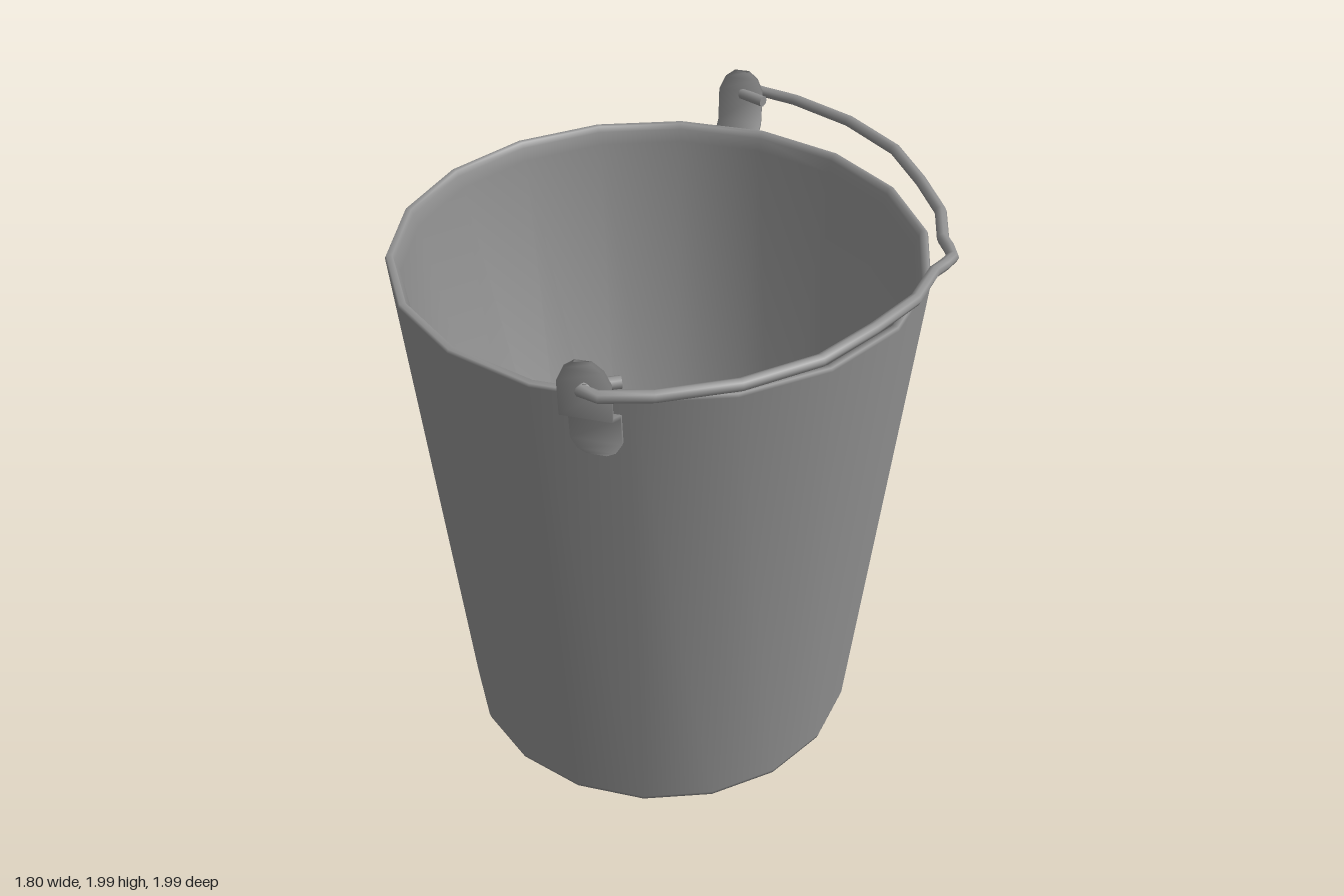
import * as THREE from 'three';

const material = new THREE.MeshStandardMaterial({ color: 0x919191 });
const CENTRE_X = -0.04; // the pail sits slightly off centre, balancing the lowered handle

function addMesh(parent, name, geometry) {
  const mesh = new THREE.Mesh(geometry, material);
  mesh.name = name;
  parent.add(mesh);
  return mesh;
}

// Straight-segment path with one tube ring per point
class Polyline extends THREE.Curve {
  constructor(points) {
    super();
    this.points = points;
  }
  getPoint(t, target = new THREE.Vector3()) {
    const last = this.points.length - 1;
    const i = Math.min(Math.floor(t * last), last - 1);
    return target.lerpVectors(this.points[i], this.points[i + 1], t * last - i);
  }
  getPointAt(t, target) { return this.getPoint(t, target); }
  getTangentAt(t, target) { return this.getTangent(t, target); }
}

// Tapered 18-sided pail, smooth all over: outer wall, rim with inner lip, inner wall, floor
function pailGeometry() {
  const profile = [
    [0, 0], [0.686, 0], [0.69, 0.015], [0.86, 1.81], [0.855, 1.82],
    [0.836, 1.82], [0.832, 1.8], [0.816, 1.76], [0.63, 0.03], [0, 0.03],
  ].map(([r, y]) => new THREE.Vector2(r, y));
  const geometry = new THREE.LatheGeometry(profile, 18, Math.PI / 2);
  geometry.normalizeNormals();
  return geometry;
}

// Bent strap with rounded ends: rows of [y, half width, z], softly shaded across its width
function earGeometry() {
  const rows = [
    [1.61, 0.03, 0.838], [1.625, 0.057, 0.839], [1.66, 0.077, 0.841],
    [1.76, 0.077, 0.852], [1.802, 0.077, 0.929], [1.92, 0.077, 0.937],
    [1.965, 0.057, 0.939], [1.99, 0.025, 0.94],
  ];
  const last = rows.length - 1;
  const geometry = new THREE.BoxGeometry(1, 1, 1, 1, last, 1);
  const { position: p, normal: n } = geometry.attributes;
  const direction = new THREE.Vector3();
  for (let i = 0; i < p.count; i++) {
    const k = Math.round((p.getY(i) + 0.5) * last);
    const [y, half, z] = rows[k];
    const below = rows[Math.max(k - 1, 0)];
    const above = rows[Math.min(k + 1, last)];
    const side = Math.sign(p.getX(i)), face = Math.sign(p.getZ(i));
    // Outward direction of the strap's broad face at this row
    direction.set(0, below[2] - above[2], above[0] - below[0]).normalize().multiplyScalar(face);
    p.setXYZ(i, side * half, y + direction.y * 0.007, z + direction.z * 0.007);
    direction.x = side * 0.9;
    direction.normalize();
    n.setXYZ(i, direction.x, direction.y, direction.z);
  }
  return geometry;
}

// Handle wire: hooked through each ear, with a small bump at the middle
function handlePath() {
  const half = [
    [0.095, 0.89], [0.01, 0.933], [0, 0.958], [0.055, 0.974], [0.2, 0.932],
    [0.412, 0.818], [0.598, 0.648], [0.713, 0.453], [0.803, 0.268], [0.833, 0.1],
    [0.858, 0.05],
  ];
  const point = (x, z) => new THREE.Vector3(x, 1.908, z);
  return [
    ...half.map(([x, z]) => point(x, z)),
    point(0.876, 0),
    ...half.slice().reverse().map(([x, z]) => point(x, -z)),
  ];
}

export function createModel() {
  const model = new THREE.Group();
  model.name = 'bucket';

  addMesh(model, 'pail', pailGeometry()).position.x = CENTRE_X;

  // Ears on the front and back of the rim
  const frontEar = addMesh(model, 'frontEar', earGeometry());
  const backEar = addMesh(model, 'backEar', earGeometry());
  backEar.rotation.y = Math.PI;
  frontEar.position.x = backEar.position.x = 0.004;

  // Handle resting level to one side
  const handle = new THREE.Group();
  handle.name = 'handle';
  model.add(handle);
  const points = handlePath();
  const last = points.length - 1;
  addMesh(handle, 'handleWire', new THREE.TubeGeometry(new Polyline(points), last, 0.019, 8));
  for (const [end, next] of [[0, 1], [last, last - 1]]) {
    const cap = addMesh(handle, 'wireEnd', new THREE.CircleGeometry(0.019, 8));
    cap.position.copy(points[end]);
    cap.lookAt(points[end].clone().multiplyScalar(2).sub(points[next]));
  }
  return model;
}
